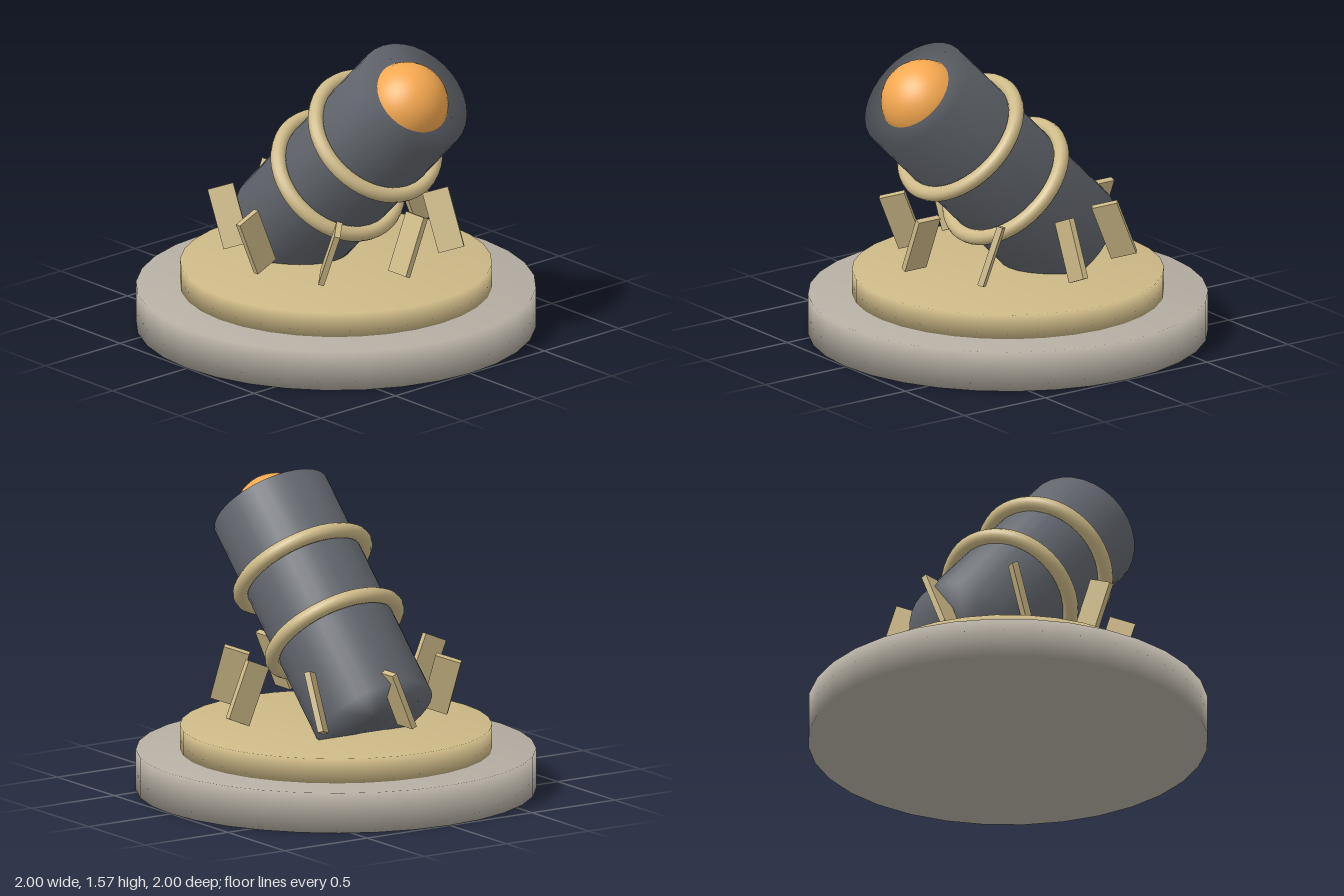
import * as THREE from 'three';

const material = (color) => new THREE.MeshStandardMaterial({ color });

function addMesh(parent, name, geometry, mat) {
  const mesh = new THREE.Mesh(geometry, mat);
  mesh.name = name;
  parent.add(mesh);
  return mesh;
}

// Closed disc or drum with softly shaded rims, from y0 to y1
function drum(radius, y0, y1) {
  const profile = [[0, y0], [radius, y0], [radius, y1], [0, y1]];
  return new THREE.LatheGeometry(profile.map(([x, y]) => new THREE.Vector2(x, y)), 32);
}

export function createModel() {
  const model = new THREE.Group();
  model.name = 'mortar';
  const stone = material(0xb5aea3);
  const brass = material(0xcdb987);
  const iron = material(0x60646b);
  const orange = material(0xf5a850);

  // Round stepped stand
  addMesh(model, 'base', drum(1, 0, 0.205), stone);
  addMesh(model, 'platform', drum(0.78, 0.2, 0.33), brass);

  // Tilted barrel with its rings and ball, built along its own y axis
  const cannon = new THREE.Group();
  cannon.name = 'cannon';
  cannon.position.set(0, 0.89, 0.113);
  cannon.rotation.x = Math.PI / 4;
  model.add(cannon);
  addMesh(cannon, 'barrel', drum(0.31, -0.648, 0.648), iron);
  for (const y of [-0.14, 0.255]) {
    const ring = addMesh(cannon, 'barrelRing', new THREE.TorusGeometry(0.338, 0.039, 12, 48), brass);
    ring.rotation.x = Math.PI / 2;
    ring.position.y = y;
  }
  const ball = addMesh(cannon, 'ball', new THREE.SphereGeometry(0.21, 32, 20), orange);
  ball.position.y = 0.585;

  // Eight radial slats in a circle, leaning in alternating directions
  const slatGeometry = new THREE.BoxGeometry(0.133, 0.31, 0.03);
  for (let i = 0; i < 8; i++) {
    const yaw = (i * Math.PI) / 4;
    const slat = addMesh(model, 'slat', slatGeometry, brass);
    slat.position.set(0.537 * Math.cos(yaw), 0.56, -0.537 * Math.sin(yaw));
    slat.rotation.y = yaw;
    const leanAxis = new THREE.Vector3(Math.sin(2 * yaw), 0, Math.cos(2 * yaw));
    slat.rotateOnWorldAxis(leanAxis, 0.4);
  }

  return model;
}
